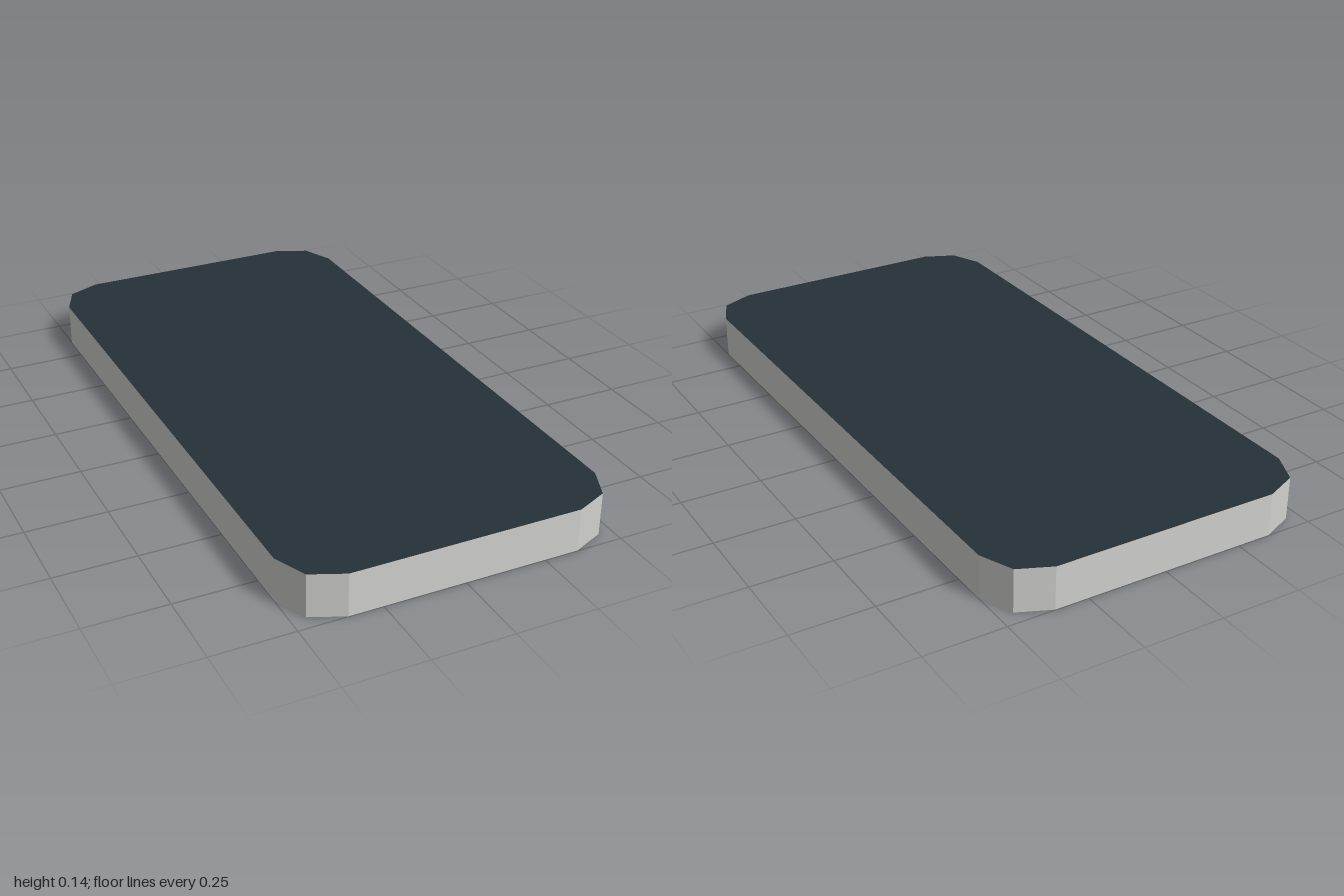
import * as THREE from 'three';

export function createModel() {
  const model = new THREE.Group();
  model.name = 'smartphone';

  const material = (name, color) => {
    const m = new THREE.MeshStandardMaterial({ color });
    m.name = name;
    return m;
  };
  const silver = material('silver frame', 0xd0d0ce);
  const grey = material('grey back', 0xacacac);
  const darkGrey = material('dark grey emblem', 0x757575);
  const glass = material('dark glass', 0x263238);

  const height = 0.135;
  const skin = 0.001;

  const add = (name, geometry, mat, y) => {
    const mesh = new THREE.Mesh(geometry, mat);
    mesh.name = name;
    mesh.position.y = y;
    model.add(mesh);
  };

  // Outline with two-facet corners, mirrored into each quadrant
  const corner = [[0.5, 0.855], [0.456, 0.956], [0.355, 1]];
  const points = [];
  for (const [sx, sy] of [[1, 1], [-1, 1], [-1, -1], [1, -1]]) {
    const quarter = corner.map(([x, y]) => new THREE.Vector2(x * sx, y * sy));
    points.push(...(sx * sy > 0 ? quarter : quarter.reverse()));
  }
  const outline = new THREE.Shape(points);

  // Body: grey caps with a silver rim
  const body = new THREE.ExtrudeGeometry(outline, { depth: height - 2 * skin, bevelEnabled: false });
  body.rotateX(-Math.PI / 2);
  add('body', body, [grey, silver], skin);

  // Screen covering the whole upper face
  const screen = new THREE.ExtrudeGeometry(outline, { depth: skin, bevelEnabled: false });
  screen.rotateX(-Math.PI / 2);
  add('screen', screen, [glass, silver], height - skin);

  // Thin discs on the underside
  const disc = (name, radius, sides, mat, x, z) => {
    const geometry = new THREE.CylinderGeometry(radius, radius, skin, sides);
    geometry.translate(x, 0, z);
    add(name, geometry, mat, skin / 2);
  };
  disc('backEmblem', 0.18, 8, darkGrey, 0, 0);
  disc('cameraLens', 0.085, 12, glass, 0.325, -0.81);

  return model;
}
